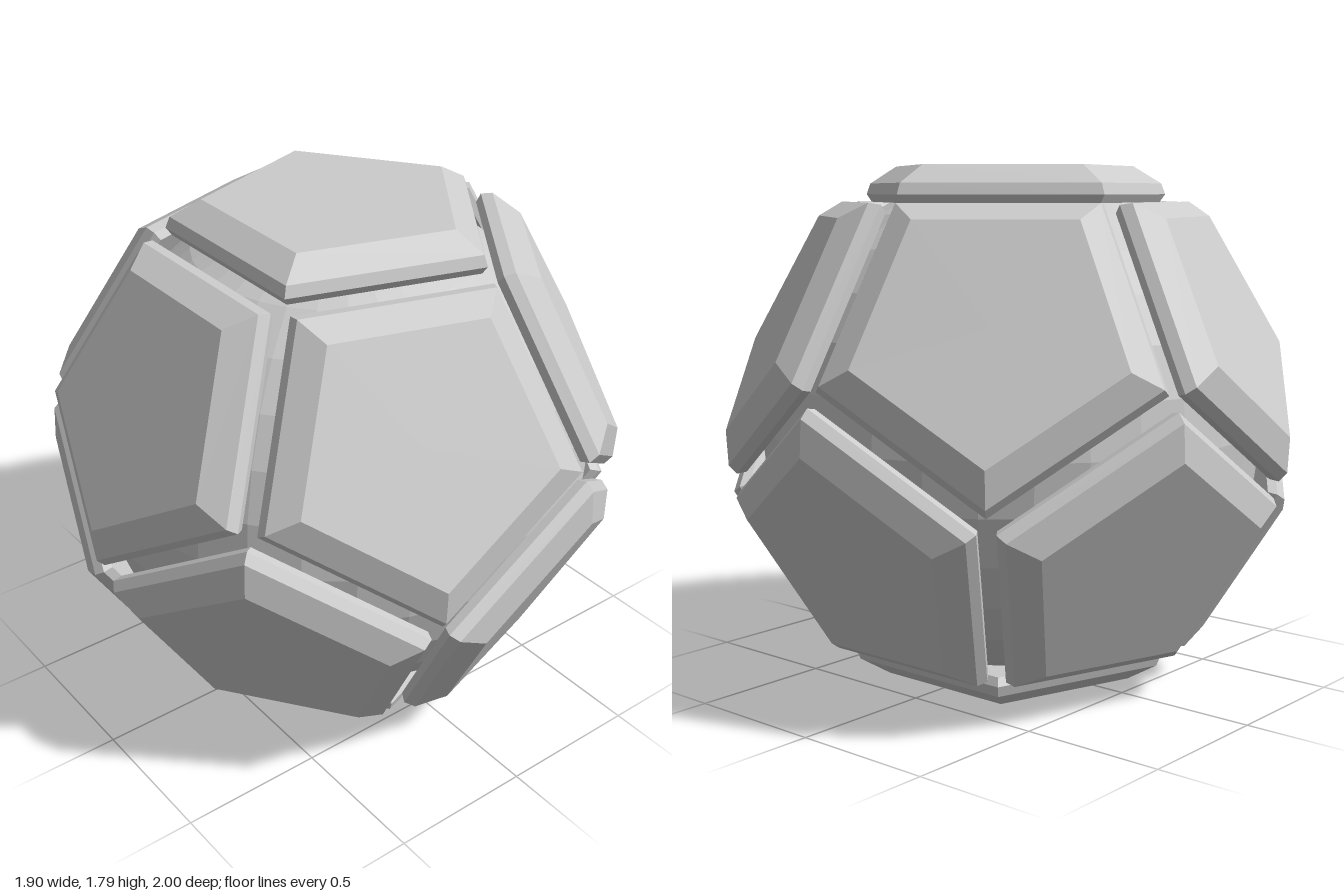
import * as THREE from 'three';

const CENTER = 0.895; // inradius of the ball, also its resting height
const TILT = Math.atan(2); // angle between neighbouring face normals

export function createModel() {
  const model = new THREE.Group();
  model.name = 'panelledBall';
  const material = new THREE.MeshStandardMaterial({ color: 0xcccccc, flatShading: true });

  const addMesh = (geometry, name) => {
    const mesh = new THREE.Mesh(geometry, material);
    mesh.name = name;
    mesh.position.y = CENTER;
    model.add(mesh);
    return mesh;
  };

  // Round core seen at the bottom of the grooves
  addMesh(new THREE.SphereGeometry(0.88, 32, 16), 'core');

  // Five-sided plate: [corner radius, distance from the core's centre]
  const profile = [[0, 0.77], [0.545, 0.77], [0.565, 0.797], [0.55, 0.835], [0.445, 0.895], [0, 0.895]]
    .map(([r, h]) => new THREE.Vector2(r, h));
  const plate = new THREE.LatheGeometry(profile, 5).toNonIndexed();
  plate.computeVertexNormals();

  const addPlate = (name, tilt, turn) => {
    addMesh(plate, name).rotation.set(tilt, turn, 0, 'YXZ');
  };

  // Caps, then an upper and a lower ring of five plates
  addPlate('topPlate', 0, Math.PI);
  addPlate('bottomPlate', Math.PI, Math.PI);
  for (let i = 0; i < 5; i++) {
    const turn = (i * Math.PI * 2) / 5;
    addPlate(`upperPlate${i + 1}`, TILT, turn);
    addPlate(`lowerPlate${i + 1}`, TILT - Math.PI, turn);
  }
  return model;
}
